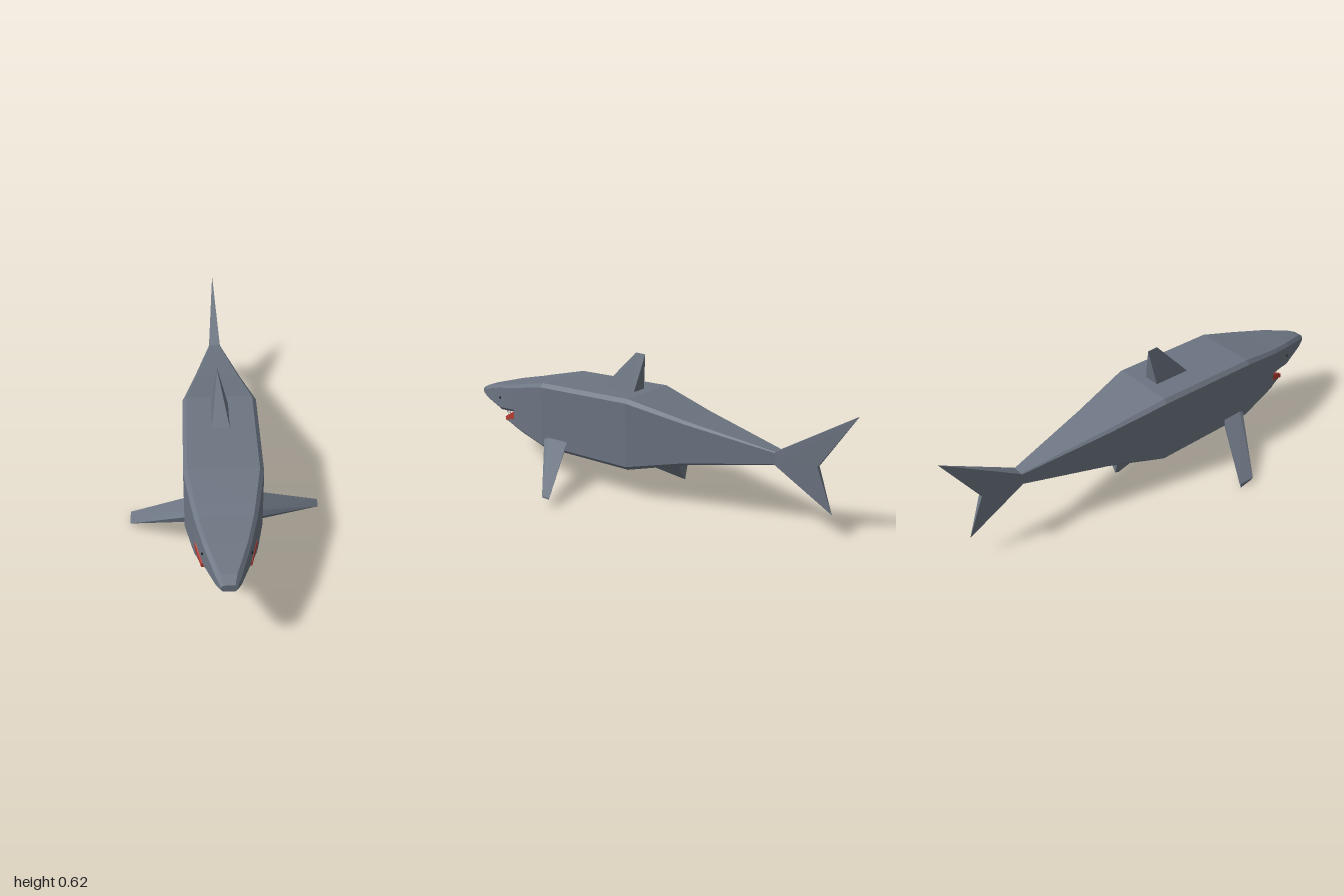
import * as THREE from 'three';
import { ConvexGeometry } from 'three/addons/geometries/ConvexGeometry.js';

const CX = -0.015; // centre line of the body
const material = (color) => new THREE.MeshStandardMaterial({ color, flatShading: true });

// Chamfered rectangle, anticlockwise seen from the front.
function ring([z, w, top, bottom, c]) {
  return [
    [w, bottom + c], [w, top - c], [w - c, top], [c - w, top],
    [-w, top - c], [-w, bottom + c], [c - w, bottom], [w - c, bottom],
  ].map(([x, y]) => [x + CX, y, z]);
}

// Skin over sections given from back to front as [z, half width, top, bottom, chamfer].
function loft(sections) {
  const rings = sections.map(ring);
  const n = 8, index = [];
  for (let s = 0; s < rings.length - 1; s++) {
    for (let i = 0; i < n; i++) {
      const a = s * n + i, b = s * n + (i + 1) % n;
      index.push(a, b, a + n, b, b + n, a + n);
    }
  }
  const last = (rings.length - 1) * n;
  for (let i = 1; i < n - 1; i++) {
    index.push(0, i + 1, i, last, last + i, last + i + 1);
  }
  const g = new THREE.BufferGeometry();
  g.setAttribute('position', new THREE.Float32BufferAttribute(rings.flat(2), 3));
  g.setIndex(index);
  const flat = g.toNonIndexed();
  flat.computeVertexNormals();
  return flat;
}

const hull = (points) => new ConvexGeometry(points.map((p) => new THREE.Vector3(...p)));

export function createModel() {
  const model = new THREE.Group();
  model.name = 'shark';
  const skin = material(0x6c7582);
  const gum = material(0xb23c32);
  const ivory = material(0xcccccc);
  const black = material(0x111111);

  const add = (name, geometry, mat, parent = model) => {
    const mesh = new THREE.Mesh(geometry, mat);
    mesh.name = name;
    parent.add(mesh);
    return mesh;
  };

  // Body, snout and lower jaw
  add('body', loft([
    [-0.66, 0.027, 0.32, 0.265, 0.004],
    [-0.27, 0.105, 0.395, 0.2, 0.012],
    [0, 0.16, 0.457, 0.135, 0.017],
    [0.49, 0.16, 0.45, 0.14, 0.017],
    [0.66, 0.13, 0.412, 0.175, 0.015],
    [0.71, 0.12, 0.4, 0.188, 0.014],
  ]), skin);
  add('snout', loft([
    [0.71, 0.12, 0.4, 0.265, 0.014],
    [0.83, 0.09, 0.376, 0.25, 0.014],
    [0.96, 0.047, 0.343, 0.272, 0.016],
    [1, 0.03, 0.325, 0.295, 0.008],
  ]), skin);
  add('lowerJaw', loft([
    [0.7, 0.121, 0.25, 0.186, 0.014],
    [0.78, 0.096, 0.222, 0.207, 0.004],
  ]), skin);

  // Red gums: the floor of the mouth and a lip rising to each corner
  add('mouthFloor', loft([
    [0.7, 0.105, 0.262, 0.22, 0.005],
    [0.782, 0.095, 0.226, 0.209, 0.003],
  ]), gum);
  for (const side of [-1, 1]) {
    const x = (d) => CX + side * d;
    add('mouthCorner', hull([
      [x(0.117), 0.272, 0.705], [x(0.122), 0.268, 0.705], [x(0.122), 0.235, 0.705],
      [x(0.085), 0.228, 0.785], [x(0.098), 0.228, 0.785],
      [x(0.085), 0.209, 0.785], [x(0.098), 0.209, 0.785],
    ]), gum);
  }

  // Two curved rows of teeth, larger towards the corners
  const teeth = new THREE.Group();
  teeth.name = 'teeth';
  model.add(teeth);
  const count = 17;
  for (let i = 0; i < count; i++) {
    const t = (2 * i) / (count - 1) - 1;
    const height = 0.018 + 0.014 * t ** 4;
    const back = 0.06 * t ** 4;
    const upper = add('upperTooth', new THREE.ConeGeometry(0.005, height, 4), ivory, teeth);
    upper.rotation.x = Math.PI;
    upper.position.set(CX + 0.086 * t, 0.253 - height / 2, 0.825 - back);
    const lower = add('lowerTooth', new THREE.ConeGeometry(0.005, height, 4), ivory, teeth);
    lower.position.set(CX + 0.084 * t, 0.222 + height / 2, 0.775 - back * 0.7);
  }

  // Eyes
  for (const side of [-1, 1]) {
    const eye = add('eye', new THREE.SphereGeometry(0.006, 8, 6), black);
    eye.position.set(CX + side * 0.0915, 0.315, 0.822);
  }

  // Dorsal fin
  add('dorsalFin', hull([
    [-0.055, 0.44, 0.235], [0.025, 0.44, 0.235],
    [-0.055, 0.44, 0.05], [0.025, 0.44, 0.05],
    [-0.027, 0.622, 0.07], [-0.022, 0.622, 0.07], [-0.025, 0.622, 0.02],
  ]), skin);

  // Belly fin
  add('bellyFin', hull([
    [-0.075, 0.165, -0.05], [0.03, 0.165, -0.05],
    [-0.075, 0.19, -0.185], [0.03, 0.19, -0.185],
    [-0.075, 0.135, -0.07], [0.03, 0.135, -0.07],
    [-0.052, 0.08, -0.17], [-0.046, 0.08, -0.185],
  ]), skin);

  // Pectoral fins, swept slightly differently on each side
  add('leftPectoralFin', hull([
    [0.13, 0.195, 0.49], [0.13, 0.208, 0.465], [0.13, 0.208, 0.345],
    [0.13, 0.165, 0.47], [0.13, 0.165, 0.36],
    [0.41, 0.042, 0.21], [0.41, 0.034, 0.215], [0.408, 0.04, 0.255], [0.408, 0.034, 0.25],
  ]), skin);
  add('rightPectoralFin', hull([
    [-0.16, 0.195, 0.48], [-0.16, 0.202, 0.46], [-0.16, 0.2, 0.36],
    [-0.16, 0.16, 0.47], [-0.16, 0.16, 0.365],
    [-0.412, 0.02, 0.315], [-0.412, 0.022, 0.24], [-0.412, 0.012, 0.305], [-0.412, 0, 0.24],
  ]), skin);

  // Tail fin: two lobes sharing the root and the notch
  const tail = new THREE.Group();
  tail.name = 'tailFin';
  model.add(tail);
  const root = [];
  for (const side of [-1, 1]) {
    root.push([CX + side * 0.027, 0.32, -0.66], [CX + side * 0.027, 0.265, -0.66]);
    root.push([CX + side * 0.01, 0.29, -0.84]);
  }
  add('upperLobe', hull([...root, [CX, 0.525, -1]]), skin);
  add('lowerLobe', hull([...root, [CX, 0.1, -0.91]]), skin);

  return model;
}
